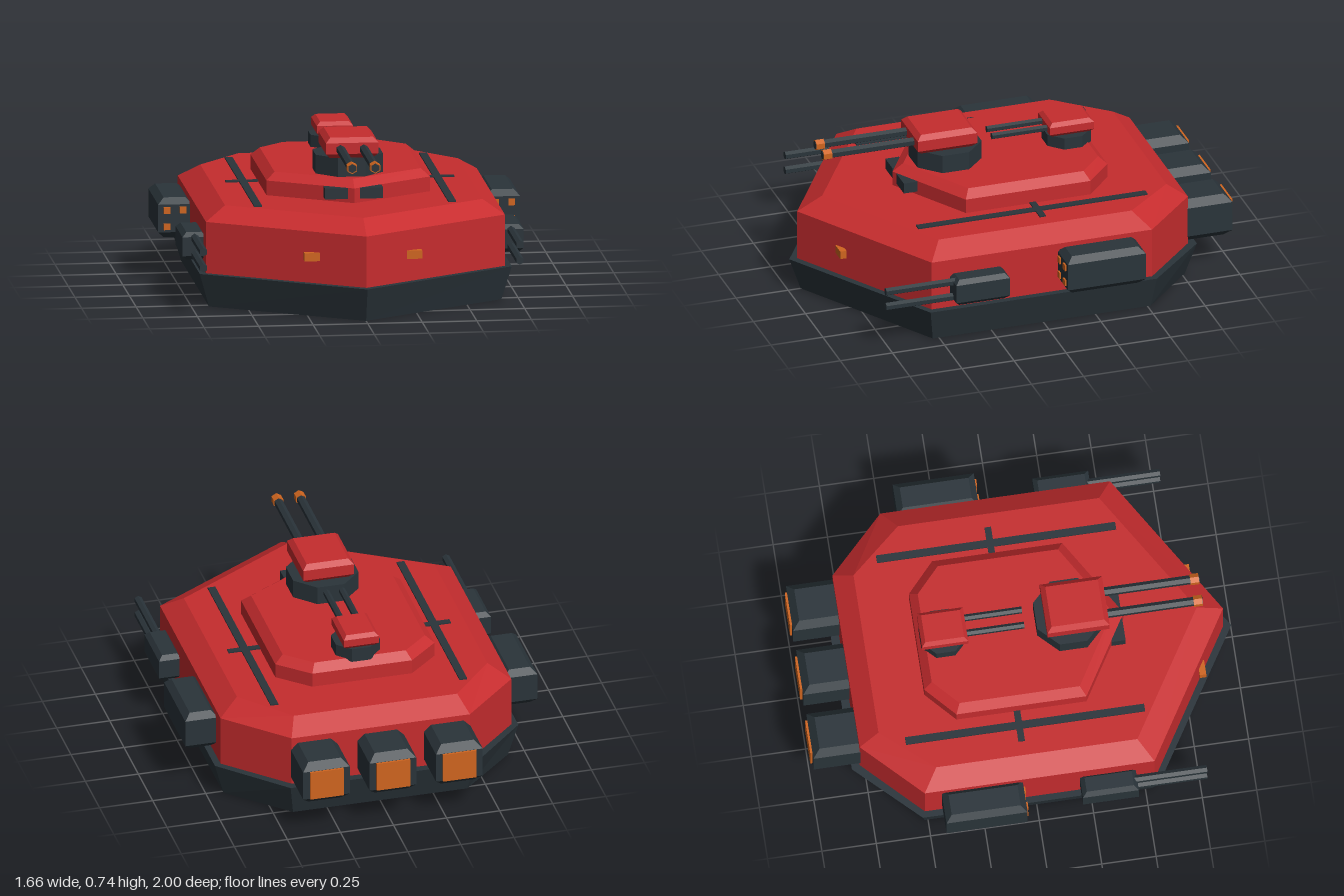
import * as THREE from 'three';

const mat = (name, color) => {
  const m = new THREE.MeshStandardMaterial({ color });
  m.name = name;
  return m;
};

// Mirrors the +x half of a convex plan outline ([x, z], front to back).
const mirrored = (half) => [
  ...half,
  ...half.filter(([x]) => x > 0).reverse().map(([x, z]) => [-x, z]),
];

// Stacks convex plan outlines at rising heights into a closed, hard-edged solid.
function loft(sections) {
  const pos = [];
  const rings = sections.map(([y, pts]) => pts.map(([x, z]) => [x, y, z]));
  const tri = (a, b, c) => pos.push(...a, ...b, ...c);
  const n = rings[0].length;
  for (let s = 0; s < rings.length - 1; s++) {
    for (let i = 0; i < n; i++) {
      const j = (i + 1) % n, lo = rings[s], hi = rings[s + 1];
      tri(lo[i], lo[j], hi[j]);
      tri(lo[i], hi[j], hi[i]);
    }
  }
  const bottom = rings[0], top = rings[rings.length - 1];
  for (let i = 1; i < n - 1; i++) {
    tri(top[0], top[i], top[i + 1]);
    tri(bottom[0], bottom[i + 1], bottom[i]);
  }
  const g = new THREE.BufferGeometry();
  g.setAttribute('position', new THREE.Float32BufferAttribute(pos, 3));
  g.computeVertexNormals();
  return g;
}

// Box with chamfered top and bottom edges, centred on the origin.
function chamferBox(w, h, d, c) {
  const rect = (k) => [[-w / 2 + k, d / 2 - k], [w / 2 - k, d / 2 - k], [w / 2 - k, -d / 2 + k], [-w / 2 + k, -d / 2 + k]];
  return loft([[-h / 2, rect(c)], [-h / 2 + c, rect(0)], [h / 2 - c, rect(0)], [h / 2, rect(c)]]);
}

// Faceted cylinder along z.
const rod = (r, length, sides) => new THREE.CylinderGeometry(r, r, length, sides).toNonIndexed().rotateX(Math.PI / 2);

export function createModel() {
  const root = new THREE.Group();
  root.name = 'armouredVehicle';
  const red = mat('red armour', 0xc62c2e);
  const dark = mat('dark steel', 0x2a343a);
  const orange = mat('orange glow', 0xd0651f);
  red.flatShading = dark.flatShading = orange.flatShading = true;

  const add = (name, geometry, material, x = 0, y = 0, z = 0, parent = root) => {
    const m = new THREE.Mesh(geometry, material);
    m.name = name;
    m.position.set(x, y, z);
    parent.add(m);
    return m;
  };

  // Hull: dark skirt flaring upward, then the red body with a sloped roof edge
  add('lowerHull', loft([
    [0, mirrored([[0, 0.94], [0.67, 0.53], [0.67, -0.515], [0.41, -0.765]])],
    [0.157, mirrored([[0, 0.995], [0.715, 0.555], [0.715, -0.53], [0.435, -0.815]])],
  ]), dark);
  const body = mirrored([[0, 0.957], [0.685, 0.54], [0.685, -0.517], [0.42, -0.777]]);
  add('upperHull', loft([
    [0.157, body],
    [0.395, body],
    [0.457, mirrored([[0, 0.836], [0.59, 0.475], [0.59, -0.45], [0.385, -0.685]])],
  ]), red);

  // Raised deck
  const deck = mirrored([[0, 0.5], [0.375, 0.273], [0.375, -0.325], [0.235, -0.452]]);
  add('raisedDeck', loft([
    [0.45, deck],
    [0.525, deck],
    [0.56, mirrored([[0, 0.448], [0.335, 0.248], [0.335, -0.305], [0.215, -0.415]])],
  ]), red);

  // Turret: octagonal ring, chamfered head and twin barrels
  const turret = (name, o) => {
    const g = new THREE.Group();
    g.name = name;
    root.add(g);
    const r = o.ring / Math.cos(Math.PI / 8);
    const ring = new THREE.CylinderGeometry(r, r, o.headBottom - 0.55, 8).rotateY(Math.PI / 8);
    add('turretRing', ring, dark, 0, (o.headBottom + 0.55) / 2, o.ringZ, g);
    const h = o.headTop - o.headBottom;
    add('turretHead', chamferBox(o.width, h, o.depth, o.chamfer), red, 0, o.headBottom + h / 2, o.headZ, g);
    const start = o.headZ + o.depth / 2 - 0.03;
    for (const s of [-1, 1]) {
      add('barrel', rod(o.barrelR, o.tip - start, 6), dark, s * o.barrelX, o.barrelY, (o.tip + start) / 2, g);
      if (o.muzzle) add('muzzle', rod(0.026, 0.04, 6), orange, s * o.barrelX, o.barrelY, o.tip - 0.022, g);
    }
  };
  turret('mainTurret', {
    ring: 0.154, ringZ: 0.247, headBottom: 0.647, headTop: 0.742, width: 0.24, depth: 0.286, chamfer: 0.022,
    headZ: 0.275, barrelX: 0.053, barrelY: 0.691, barrelR: 0.021, tip: 0.855, muzzle: true,
  });
  turret('rearTurret', {
    ring: 0.104, ringZ: -0.333, headBottom: 0.616, headTop: 0.685, width: 0.166, depth: 0.212, chamfer: 0.017,
    headZ: -0.333, barrelX: 0.037, barrelY: 0.649, barrelR: 0.016, tip: 0.037,
  });

  // Mirrored side equipment
  for (const s of [-1, 1]) {
    const side = s > 0 ? 'left' : 'right';

    // Deck seams
    add(side + 'DeckStrip', new THREE.BoxGeometry(0.036, 0.012, 1.1), dark, s * 0.445, 0.457, -0.02);
    add(side + 'DeckCrossStrip', new THREE.BoxGeometry(0.155, 0.012, 0.03), dark, s * 0.446, 0.457, -0.047);

    // Vision block and headlight
    add(side + 'VisionBlock', new THREE.BoxGeometry(0.106, 0.05, 0.065), dark, s * 0.08, 0.5, 0.457);
    add(side + 'Headlight', new THREE.BoxGeometry(0.07, 0.038, 0.03), orange, s * 0.235, 0.281, 0.825);

    // Launcher pod with four glowing tubes
    add(side + 'LauncherPod', chamferBox(0.155, 0.185, 0.373, 0.028), dark, s * 0.752, 0.29, -0.252);
    for (const x of [0.716, 0.79]) {
      for (const y of [0.252, 0.328]) {
        add(side + 'LauncherTube', new THREE.BoxGeometry(0.03, 0.03, 0.02), orange, s * x, y, -0.068);
      }
    }

    // Side gun with two stacked barrels
    add(side + 'GunHousing', chamferBox(0.11, 0.128, 0.257, 0.02), dark, s * 0.727, 0.264, 0.325);
    for (const y of [0.228, 0.303]) {
      add(side + 'GunBarrel', rod(0.019, 0.36, 6), dark, s * 0.725, y, 0.595);
    }
  }

  // Three rear engines with glowing exhaust plates
  for (const x of [-0.313, 0, 0.313]) {
    add('engine', chamferBox(0.22, 0.208, 0.26, 0.033), dark, x, 0.263, -0.86);
    add('exhaust', new THREE.BoxGeometry(0.158, 0.14, 0.02), orange, x, 0.263, -0.99);
  }
  return root;
}
